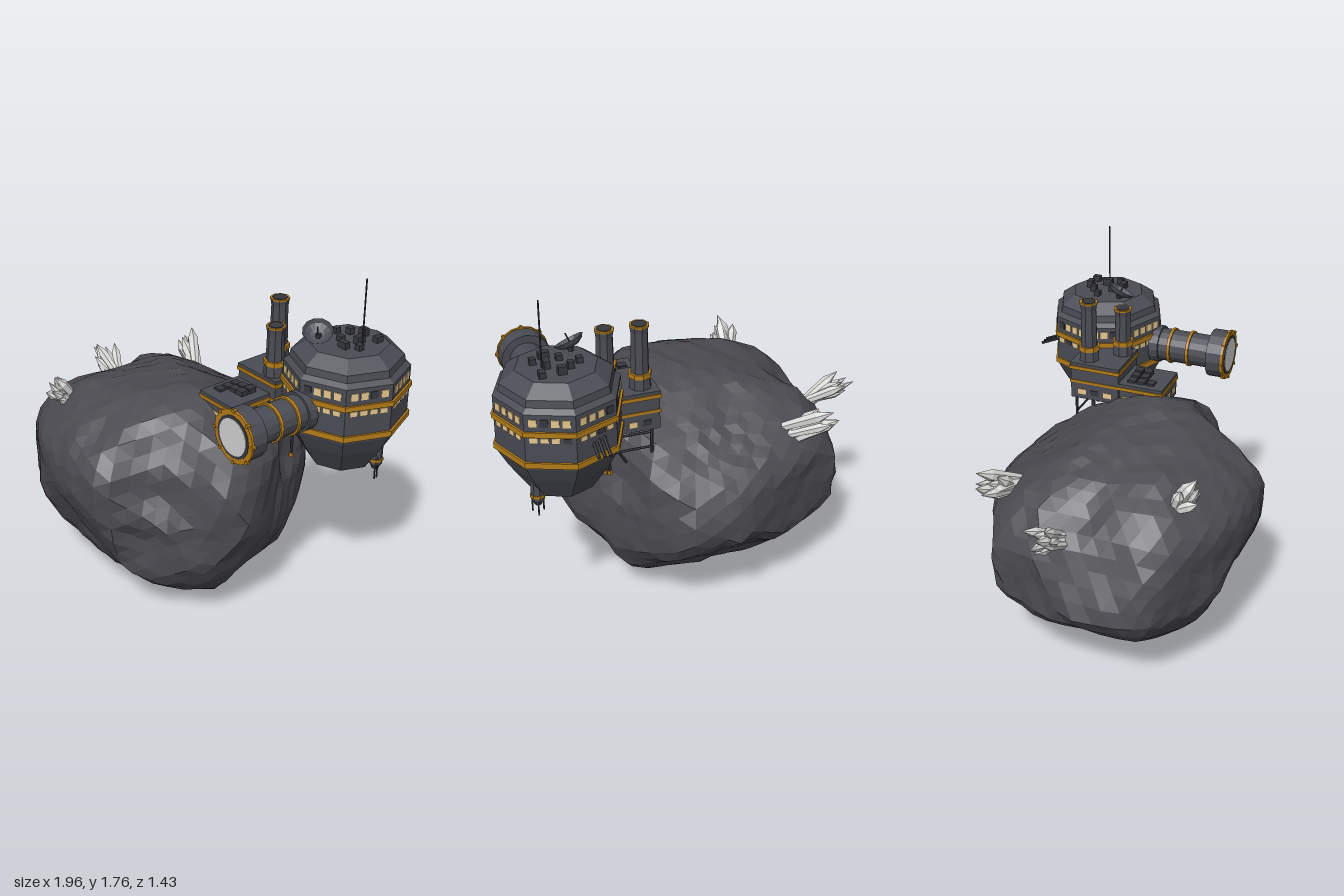
import * as THREE from 'three';

const mat = (name, color, side = THREE.FrontSide) => {
  const m = new THREE.MeshStandardMaterial({ color, flatShading: true, side });
  m.name = name;
  return m;
};
const V = (x, y, z) => new THREE.Vector3(x, y, z);

export function createModel() {
  const rockM = mat('rock', 0x4b4b51), hullM = mat('hull', 0x4a4c54, THREE.DoubleSide), darkM = mat('darkMetal', 0x37383e);
  const goldM = mat('gold', 0xb47c18), glowM = mat('litWindow', 0xe6c88e), lensM = mat('lens', 0xd2d2d2), crystalM = mat('crystal', 0xd6d6d4);
  const root = new THREE.Group();
  root.name = 'asteroidStation';

  let seed = 7;
  const rnd = () => (seed = (seed * 16807) % 2147483647) / 2147483647;
  const group = (name, parent = root) => {
    const g = new THREE.Group();
    g.name = name;
    parent.add(g);
    return g;
  };
  const add = (parent, name, geo, m, x = 0, y = 0, z = 0) => {
    const mesh = new THREE.Mesh(geo, m);
    mesh.name = name;
    mesh.position.set(x, y, z);
    parent.add(mesh);
    return mesh;
  };
  const box = (p, n, m, w, h, d, x, y, z) => add(p, n, new THREE.BoxGeometry(w, h, d), m, x, y, z);
  const cyl = (p, n, m, rt, rb, h, x, y, z, s = 8) => add(p, n, new THREE.CylinderGeometry(rt, rb, h, s), m, x, y, z);
  const rod = (p, n, m, a, b, r, s = 6) => {
    const d = b.clone().sub(a), c = a.clone().add(b).multiplyScalar(0.5);
    const mesh = cyl(p, n, m, r, r, d.length(), c.x, c.y, c.z, s);
    mesh.quaternion.setFromUnitVectors(V(0, 1, 0), d.normalize());
    return mesh;
  };

  // Asteroid: a faceted ball pushed out to three outlines, then dented
  const C = V(-0.1, 0.55, 0.02);
  const front = [[-0.88, 0.46], [-0.8, 0.65], [-0.72, 0.82], [-0.6, 0.95], [-0.4, 1.03], [0.1, 1.13], [0.25, 1.1], [0.4, 1.02], [0.57, 0.93],
    [0.63, 0.83], [0.67, 0.68], [0.64, 0.55], [0.58, 0.4], [0.48, 0.2], [0.4, 0.1], [0.27, 0.035], [0, 0], [-0.26, 0.05], [-0.4, 0.12], [-0.75, 0.33]];
  const side = [[0.72, 0.7], [0.7, 0.82], [0.63, 0.9], [0.5, 0.99], [0.3, 1.09], [0.1, 1.13], [-0.12, 1.06], [-0.35, 0.93], [-0.55, 0.8], [-0.63, 0.7],
    [-0.69, 0.55], [-0.66, 0.45], [-0.6, 0.38], [-0.4, 0.25], [-0.3, 0.12], [-0.2, 0.06], [0.05, 0], [0.3, 0.1], [0.45, 0.18], [0.54, 0.28], [0.6, 0.42]];
  const top = [[0.05, -0.7], [0.15, -0.68], [0.25, -0.57], [0.37, -0.4], [0.5, -0.15], [0.62, 0.05], [0.66, 0.2], [0.55, 0.33], [0.3, 0.53], [0.12, 0.68],
    [-0.07, 0.71], [-0.3, 0.66], [-0.45, 0.62], [-0.62, 0.53], [-0.82, 0.4], [-0.88, 0.1], [-0.75, -0.25], [-0.73, -0.4], [-0.35, -0.57], [-0.12, -0.67]];
  const reach = (poly, cx, cy, dx, dy) => {
    let best = 0;
    poly.forEach(([ax, ay], i) => {
      const [bx, by] = poly[(i + 1) % poly.length];
      const ex = bx - ax, ey = by - ay, det = dx * ey - dy * ex;
      if (Math.abs(det) < 1e-9) return;
      const t = ((ax - cx) * ey - (ay - cy) * ex) / det;
      const u = ((ax - cx) * dy - (ay - cy) * dx) / det;
      if (t > 0 && u >= -1e-6 && u <= 1 + 1e-6) best = Math.max(best, t);
    });
    return best || 99;
  };
  const dents = [[0.36, 0.84, 0.45, 0.27, 0.1], [-0.62, 0.9, 0.02, 0.16, 0.04], [0.42, 0.2, -0.08, 0.2, 0.06],
    [0.42, 0.8, -0.36, 0.2, 0.07], [-0.15, 0.35, -0.55, 0.17, 0.06], [0.3, 0.45, 0.5, 0.17, 0.05]];
  const rockGeo = new THREE.IcosahedronGeometry(1, 9);
  const pos = rockGeo.attributes.position, d = V(0, 0, 0);
  for (let i = 0; i < pos.count; i++) {
    d.fromBufferAttribute(pos, i).normalize();
    const rs = [reach(front, C.x, C.y, d.x, d.y), reach(side, C.z, C.y, d.z, d.y), reach(top, C.x, C.z, d.x, d.z)];
    const soft = Math.cbrt(2 / rs.reduce((s, r) => s + r ** -3, 0));
    let r = Math.min(soft, ...rs);
    r += 0.009 * Math.sin(9 * d.x + 4 * d.y) * Math.sin(8 * d.y - 5 * d.z + 1) + 0.006 * Math.sin(23 * d.x + 2) * Math.sin(21 * d.z + 17 * d.y);
    const p = d.clone().multiplyScalar(r).add(C);
    for (const [x, y, z, rad, depth] of dents) r -= depth * Math.max(0, 1 - (p.distanceTo(V(x, y, z)) / rad) ** 2);
    p.copy(d).multiplyScalar(r).add(C);
    pos.setXYZ(i, p.x, Math.max(0, p.y), p.z);
  }
  add(root, 'asteroid', rockGeo, rockM);

  // Crystal clusters: six-sided shards fanned about a main direction
  const cluster = (base, tip, n) => {
    const g = group('crystalCluster');
    const axis = tip.clone().sub(base), len = axis.length();
    axis.normalize();
    for (let i = 0; i < n; i++) {
      const spread = i ? 0.38 : 0;
      const dir = axis.clone().add(V(rnd() - 0.5, rnd() - 0.5, rnd() - 0.5).multiplyScalar(spread * 2)).normalize();
      const l = len * (i ? 0.6 + rnd() * 0.32 : 1), r = 0.02 + rnd() * 0.012;
      const pts = [[0, -0.07], [r * 0.7, -0.07], [r, l * 0.65], [0.001, l]].map(([a, b]) => new THREE.Vector2(a, b));
      const shard = add(g, 'crystalShard', new THREE.LatheGeometry(pts, 6), crystalM);
      shard.position.copy(base).add(V(rnd() - 0.5, rnd() - 0.5, rnd() - 0.5).multiplyScalar(0.06));
      shard.quaternion.setFromUnitVectors(V(0, 1, 0), dir);
    }
  };
  cluster(V(-0.74, 0.8, -0.05), V(-0.98, 0.88, -0.07), 9);
  cluster(V(-0.46, 0.93, 0.42), V(-0.42, 1.08, 0.52), 9);
  cluster(V(-0.48, 0.87, -0.41), V(-0.66, 0.97, -0.53), 9);

  // Octagonal main hull
  const hub = group('mainHull');
  hub.position.set(0.69, 0, -0.385);
  const profile = [[0, 0.835], [0.16, 0.835], [0.245, 0.965], [0.29, 1.05], [0.295, 1.07], [0.295, 1.33], [0.268, 1.35], [0.262, 1.385], [0.19, 1.435], [0, 1.44]];
  add(hub, 'hullShell', new THREE.LatheGeometry(profile.map(([a, b]) => new THREE.Vector2(a, b)), 8), hullM);
  cyl(hub, 'upperBand', goldM, 0.306, 0.306, 0.025, 0, 1.235, 0);
  cyl(hub, 'lowerBand', goldM, 0.306, 0.306, 0.028, 0, 1.08, 0);
  for (let k = 0; k < 8; k++) {
    const face = group('windowFace', hub);
    face.rotation.y = (k + 0.5) * Math.PI / 4;
    for (let j = 0; j < 4; j++) {
      const x = (j - 1.5) * 0.049, lit = (j + k * 3) % 5 !== 0;
      box(face, 'upperWindow', lit ? glowM : darkM, 0.035, 0.036, 0.008, x, 1.29, 0.273);
      box(face, 'lowerWindow', (j + k) % 6 ? glowM : darkM, 0.035, 0.024, 0.008, x, 1.205, 0.273);
    }
  }

  // Roof equipment: hatches, mast and dish
  for (const [x, z, w, h, l] of [[0.0, -0.1, 0.04, 0.03, 0.03], [0.05, -0.02, 0.03, 0.03, 0.05], [-0.05, -0.06, 0.03, 0.025, 0.03], [0.09, -0.1, 0.03, 0.02, 0.04],
    [0.04, 0.07, 0.05, 0.025, 0.03], [0.1, 0.03, 0.03, 0.02, 0.03], [-0.02, 0.03, 0.03, 0.02, 0.03], [-0.1, -0.02, 0.03, 0.02, 0.03]])
    box(hub, 'roofUnit', darkM, w, h + 0.02, l, x, 1.435 + h / 2, z);
  rod(hub, 'mast', darkM, V(0.07, 1.42, -0.02), V(0.07, 1.76, -0.02), 0.004);
  const dish = group('dish', hub);
  dish.position.set(-0.095, 1.47, 0.105);
  dish.quaternion.setFromUnitVectors(V(0, 1, 0), V(0.34, 0.85, 0.38).normalize());
  add(dish, 'dishBowl', new THREE.LatheGeometry([[0, -0.02], [0.035, -0.014], [0.06, 0], [0.073, 0.018]].map(([a, b]) => new THREE.Vector2(a, b)), 12), hullM);
  rod(dish, 'dishFeed', darkM, V(0, -0.02, 0), V(0, 0.05, 0), 0.004);
  rod(hub, 'dishStand', darkM, V(-0.095, 1.4, 0.1), V(-0.095, 1.465, 0.1), 0.014);

  // Rear exhaust rods
  for (let i = 0; i < 3; i++) rod(hub, 'rearRod', darkM, V(-0.14 + i * 0.027, 1.18, -0.21), V(-0.14 + i * 0.027, 1.125, -0.335), 0.008);

  // Hanging pod with needles
  const pod = group('hangingPod');
  pod.position.set(0.83, 0, -0.48);
  cyl(pod, 'podBody', hullM, 0.032, 0.032, 0.14, 0, 0.885, 0);
  cyl(pod, 'podTip', darkM, 0.028, 0.018, 0.03, 0, 0.805, 0);
  for (const y of [0.84, 0.945]) cyl(pod, 'podRing', goldM, 0.037, 0.037, 0.014, 0, y, 0);
  for (const [x, z, y] of [[0, 0, 0.725], [0.025, 0.012, 0.75], [-0.02, -0.02, 0.765]]) rod(pod, 'podNeedle', darkM, V(x, 0.86, z), V(x, y, z), 0.004);

  // Telescope barrel, pointing forward
  const scope = group('telescope');
  scope.position.set(0.69, 1.17, 0);
  scope.rotation.x = Math.PI / 2;
  cyl(scope, 'barrel', hullM, 0.086, 0.086, 0.36, 0, 0.06, 0, 16);
  cyl(scope, 'barrelSleeve', hullM, 0.098, 0.098, 0.05, 0, -0.095, 0, 16);
  for (const z of [-0.012, 0.092]) cyl(scope, 'barrelBand', goldM, 0.095, 0.095, 0.016, 0, z, 0, 16);
  cyl(scope, 'hood', hullM, 0.125, 0.125, 0.085, 0, 0.25, 0, 16);
  cyl(scope, 'hoodRim', goldM, 0.131, 0.131, 0.012, 0, 0.296, 0, 16);
  cyl(scope, 'lensSeat', darkM, 0.105, 0.105, 0.005, 0, 0.302, 0, 16);
  cyl(scope, 'lens', lensM, 0.09, 0.09, 0.006, 0, 0.304, 0, 24);
  for (let i = 0; i < 8; i++) {
    const a = (i * Math.PI) / 4;
    cyl(scope, 'rimBolt', goldM, 0.01, 0.01, 0.02, Math.cos(a) * 0.128, 0.296, Math.sin(a) * 0.128, 6);
  }

  // Two deck modules with gold-trimmed edges and windows
  const module = (name, x, z, w, l, y0, y1) => {
    const g = group(name);
    g.position.set(x, 0, z);
    box(g, 'moduleBody', hullM, w, y1 - y0, l, 0, (y0 + y1) / 2, 0);
    box(g, 'moduleTrim', goldM, w + 0.014, 0.018, l + 0.014, 0, y1 - 0.018, 0);
    box(g, 'moduleRoof', hullM, w + 0.006, 0.016, l + 0.006, 0, y1, 0);
    for (const s of [-1, 1]) for (let i = -1; i <= 1; i++) {
      box(g, 'sideWindow', i ? glowM : darkM, 0.006, 0.028, 0.045, s * (w / 2 + 0.001), y0 + 0.04, i * 0.07);
      box(g, 'endWindow', i < 0 ? darkM : glowM, 0.04, 0.028, 0.006, i * 0.07, y0 + 0.04, s * (l / 2 + 0.001));
    }
    return g;
  };
  const rear = module('rearModule', 0.345, -0.268, 0.265, 0.262, 1.02, 1.21);
  box(rear, 'lowerTrim', goldM, 0.275, 0.014, 0.27, 0, 1.115, 0);
  const fore = module('foreModule', 0.325, -0.017, 0.23, 0.228, 1.02, 1.135);
  for (let i = 0; i < 7; i++) box(fore, 'deckCrate', darkM, 0.045, 0.02 + 0.012 * (i % 3), 0.04, -0.06 + (i % 3) * 0.05, 1.145, -0.06 + Math.floor(i / 3) * 0.05);
  box(root, 'hullLink', hullM, 0.1, 0.14, 0.14, 0.47, 1.11, -0.3);

  // Chimneys
  const chimney = (x, z, h) => {
    const g = group('chimney');
    g.position.set(x, 0, z);
    cyl(g, 'chimneyBase', hullM, 0.05, 0.055, 0.09, 0, 1.245, 0);
    cyl(g, 'chimneyStack', hullM, 0.04, 0.046, h - 1.21, 0, (h + 1.21) / 2, 0);
    cyl(g, 'chimneyCollar', goldM, 0.056, 0.056, 0.024, 0, 1.285, 0);
    cyl(g, 'chimneyCap', hullM, 0.046, 0.042, 0.03, 0, h - 0.02, 0);
    cyl(g, 'chimneyLip', goldM, 0.048, 0.048, 0.008, 0, h - 0.004, 0);
    cyl(g, 'chimneyMouth', darkM, 0.036, 0.036, 0.006, 0, h, 0);
  };
  chimney(0.285, -0.325, 1.535);
  chimney(0.41, -0.19, 1.47);

  // Support legs, beams and feet under the deck
  const legs = group('supportFrame');
  for (const [x, z, y] of [[0.47, -0.145, 0.75], [0.45, -0.285, 0.76], [0.25, -0.385, 0.82], [0.46, -0.385, 0.82], [0.43, -0.02, 0.86]]) {
    rod(legs, 'leg', darkM, V(x, 1.03, z), V(x, y, z), 0.008);
    cyl(legs, 'foot', goldM, 0.012, 0.014, 0.02, x, y, z, 6);
  }
  for (const y of [0.92, 1.0]) {
    rod(legs, 'beam', darkM, V(0.47, y, -0.02), V(0.46, y, -0.385), 0.006);
    rod(legs, 'beam', darkM, V(0.25, y, -0.385), V(0.46, y, -0.385), 0.006);
    rod(legs, 'beam', darkM, V(0.25, y, -0.145), V(0.47, y, -0.145), 0.006);
  }
  rod(legs, 'brace', darkM, V(0.46, 1.0, -0.385), V(0.36, 0.82, -0.33), 0.007);
  rod(legs, 'brace', darkM, V(0.47, 1.0, -0.145), V(0.38, 0.85, -0.2), 0.007);
  return root;
}
